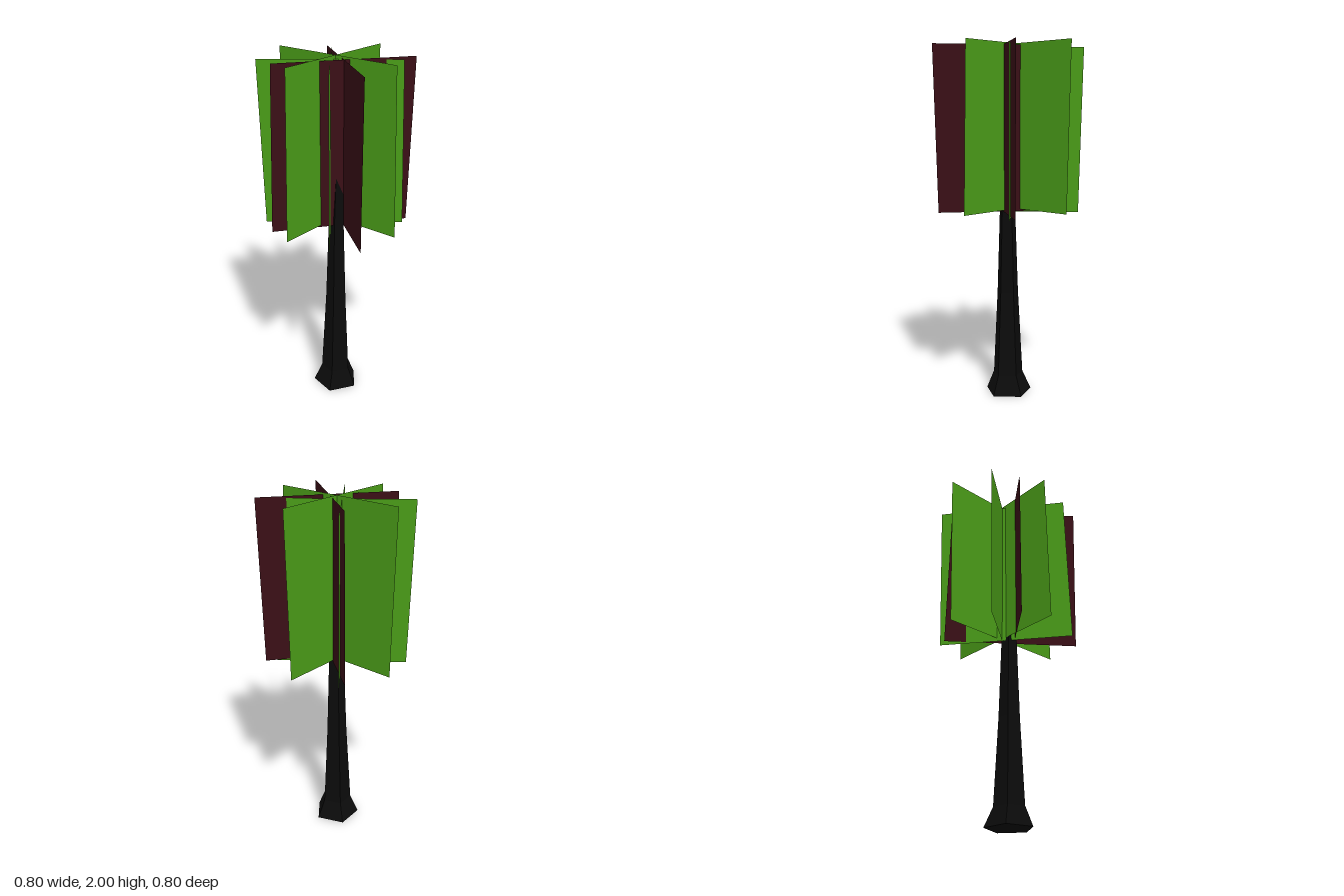
import * as THREE from 'three';

const bark = new THREE.MeshStandardMaterial({ color: 0x0b0b0b, flatShading: true });
const greenLeaf = new THREE.MeshStandardMaterial({ color: 0x4a9c18, side: THREE.DoubleSide });
const redLeaf = new THREE.MeshStandardMaterial({ color: 0x3a0f16, side: THREE.DoubleSide });

// Five-sided trunk: a unit cylinder whose rings are placed at [x, y, z, radius]
function makeTrunk() {
  const rings = [
    [-0.028, 0, 0.022, 0.135],
    [-0.03, 0.11, 0.024, 0.088],
    [-0.03, 0.6, 0.026, 0.062],
    [-0.03, 1.07, 0.027, 0.046],
    [-0.015, 1.54, 0.03, 0.033],
  ];
  const n = rings.length - 1;
  const geo = new THREE.CylinderGeometry(1, 1, n, 5, n);
  const pos = geo.attributes.position;
  for (let i = 0; i < pos.count; i++) {
    const [x, y, z, r] = rings[Math.round(pos.getY(i) + n / 2)];
    pos.setXYZ(i, x + pos.getX(i) * r, y, z + pos.getZ(i) * r);
  }
  geo.computeVertexNormals();
  const mesh = new THREE.Mesh(geo, bark);
  mesh.name = 'trunk';
  return mesh;
}

// Upright leaf card from plan point a to b; its top leans slightly towards b
function makeCard({ name, a, b, y0, y1, material }) {
  const lean = 0.022;
  const start = new THREE.Vector2(...a);
  const end = new THREE.Vector2(...b);
  const dir = end.clone().sub(start);
  const width = dir.length() - lean;
  dir.normalize();
  const geo = new THREE.PlaneGeometry(1, 1);
  const pos = geo.attributes.position;
  for (let i = 0; i < pos.count; i++) {
    const v = pos.getY(i) + 0.5;
    const d = (pos.getX(i) + 0.5) * width + v * lean;
    pos.setXYZ(i, start.x + dir.x * d, THREE.MathUtils.lerp(y0, y1, v), start.y + dir.y * d);
  }
  geo.computeVertexNormals();
  const mesh = new THREE.Mesh(geo, material);
  mesh.name = name;
  return mesh;
}

export function createModel() {
  const tree = new THREE.Group();
  tree.name = 'tree';
  tree.add(makeTrunk());

  // Crossed cards of the crown, as [x, z] end points
  const crown = new THREE.Group();
  crown.name = 'crown';
  const cards = [
    { a: [-0.4, -0.035], b: [0.395, 0.02], y0: 1.08, y1: 2.0, material: greenLeaf },
    { a: [0.21, 0.31], b: [-0.24, -0.34], y0: 1.06, y1: 1.98, material: greenLeaf },
    { a: [-0.022, 0.4], b: [0.03, -0.4], y0: 1.08, y1: 2.0, material: greenLeaf },
    { a: [-0.352, 0.205], b: [0.3, -0.24], y0: 1.06, y1: 1.98, material: greenLeaf },
    { a: [0.238, -0.236], b: [-0.28, 0.36], y0: 1.07, y1: 1.99, material: redLeaf },
    { a: [-0.33, -0.195], b: [0.268, 0.322], y0: 1.07, y1: 1.99, material: redLeaf },
  ];
  cards.forEach((card, i) => crown.add(makeCard({ name: `leafCard${i + 1}`, ...card })));
  tree.add(crown);
  return tree;
}
